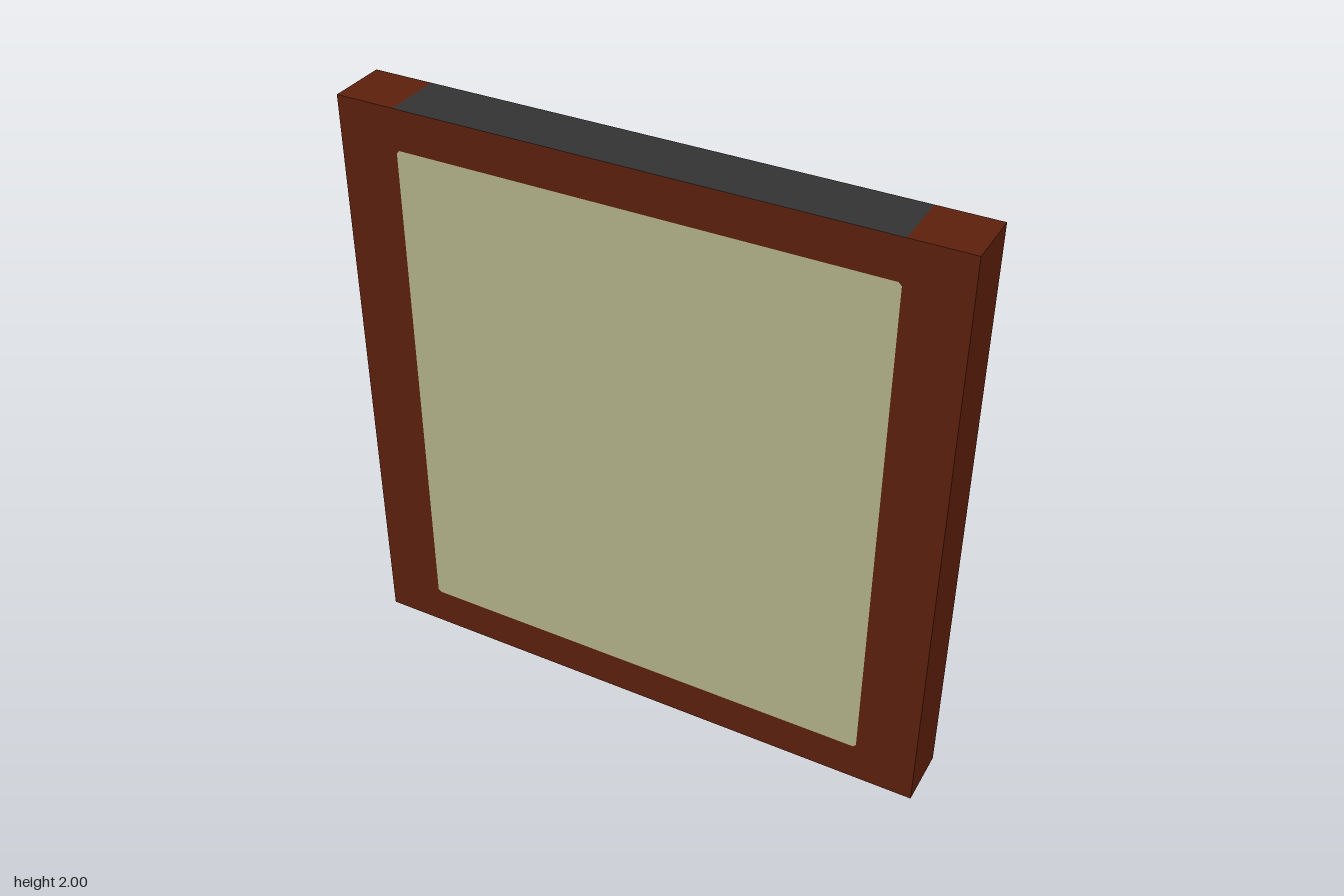
import * as THREE from 'three';

const DEPTH = 0.2;
const STRIP = 0.004; // thickness of the dark edge strips

export function createModel() {
  const wood = new THREE.MeshStandardMaterial({ color: 0x5e200d });
  wood.name = 'redBrownWood';
  const paper = new THREE.MeshStandardMaterial({ color: 0xb5b68b });
  paper.name = 'paleCream';
  const dark = new THREE.MeshStandardMaterial({ color: 0x343434 });
  dark.name = 'darkGrey';

  const group = new THREE.Group();
  group.name = 'framedPanel';

  const add = (name, geometry, material, y = 0) => {
    const mesh = new THREE.Mesh(geometry, material);
    mesh.name = name;
    mesh.position.y = y;
    group.add(mesh);
  };
  const extrude = (shape) => new THREE.ExtrudeGeometry(shape, { depth: DEPTH, bevelEnabled: false })
    .translate(0, 0, -DEPTH / 2);

  // Panel outline with slightly clipped corners
  const w = 0.8, b = 0.135, t = 1.865, c = 0.01;
  const outline = [
    [-w + c, b], [w - c, b], [w, b + c], [w, t - c],
    [w - c, t], [-w + c, t], [-w, t - c], [-w, b + c],
  ].map(([x, y]) => new THREE.Vector2(x, y));

  // Frame, recessed along the top and bottom to take the edge strips
  const frame = new THREE.Shape([
    [-1, 0], [-w, 0], [-w, STRIP], [w, STRIP], [w, 0], [1, 0],
    [1, 2], [w, 2], [w, 2 - STRIP], [-w, 2 - STRIP], [-w, 2], [-1, 2],
  ].map(([x, y]) => new THREE.Vector2(x, y)));
  frame.holes.push(new THREE.Path(outline));
  add('frame', extrude(frame), wood);

  // Flush panel, visible from front and back
  add('panel', extrude(new THREE.Shape(outline)), paper);

  // Dark strips on the top and bottom edges, with wood-coloured ends and sides
  const stripMaterials = [wood, wood, dark, dark, wood, wood];
  for (const [name, y] of [['bottomStrip', STRIP / 2], ['topStrip', 2 - STRIP / 2]]) {
    add(name, new THREE.BoxGeometry(2 * w, STRIP, DEPTH), stripMaterials, y);
  }

  return group;
}
